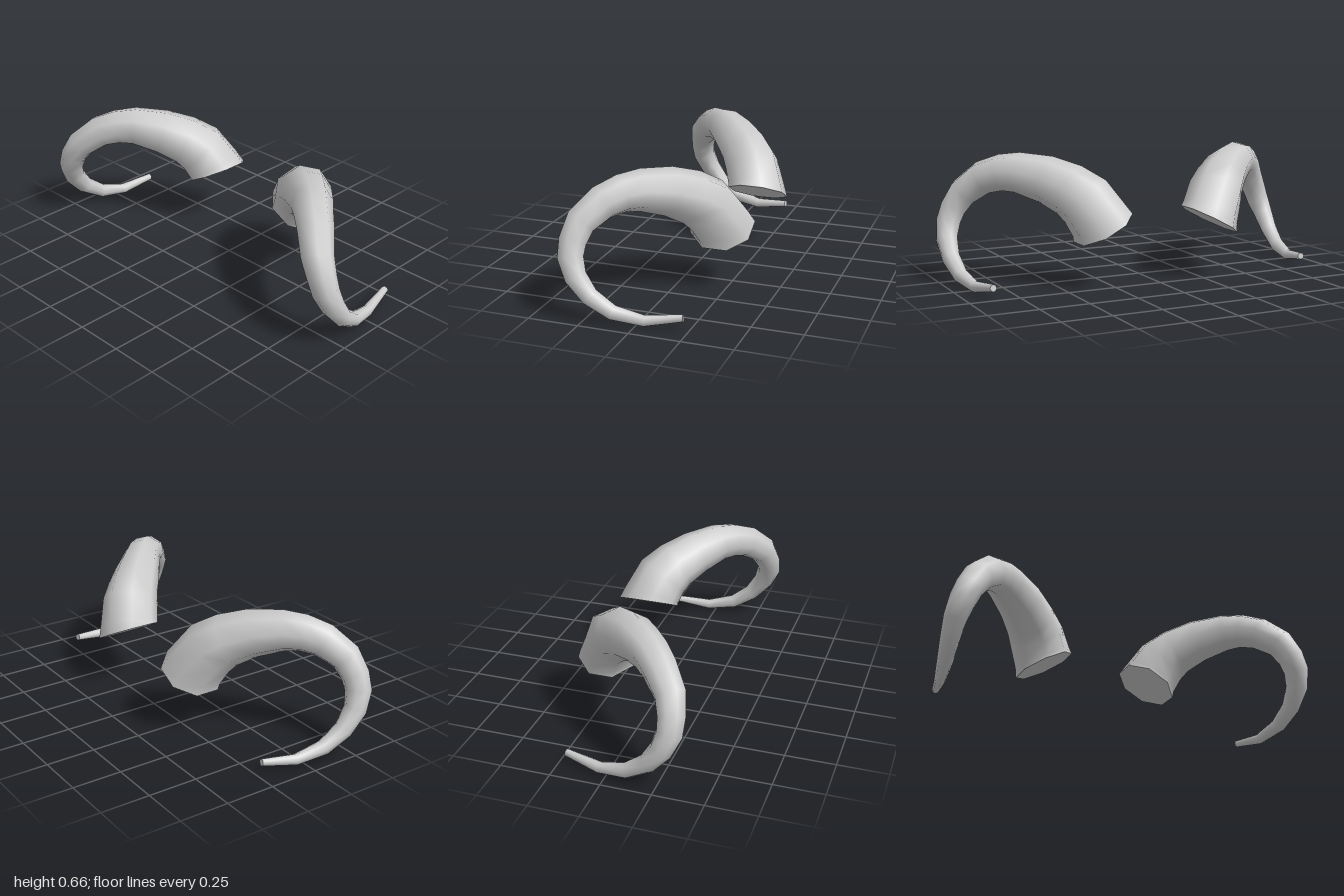
import * as THREE from 'three';

const SIDES = 8;

// Horn cross-sections from base to tip: centre x, y, z and radius
const SECTIONS = [
  [0.30, 0.30, -0.213, 0.161],
  [0.315, 0.335, -0.20, 0.152],
  [0.37, 0.43, -0.155, 0.146],
  [0.43, 0.482, -0.10, 0.133],
  [0.52, 0.53, -0.015, 0.119],
  [0.635, 0.56, 0.085, 0.101],
  [0.70, 0.555, 0.15, 0.092],
  [0.77, 0.527, 0.215, 0.086],
  [0.848, 0.45, 0.29, 0.077],
  [0.897, 0.37, 0.311, 0.069],
  [0.925, 0.30, 0.311, 0.065],
  [0.945, 0.217, 0.278, 0.056],
  [0.945, 0.13, 0.21, 0.046],
  [0.93, 0.06, 0.105, 0.038],
  [0.905, 0.03, -0.04, 0.028],
  [0.872, 0.055, -0.217, 0.018],
];

// Rings of points square to the path, carried along without twist
function makeRings(side) {
  const centres = SECTIONS.map(([x, y, z]) => new THREE.Vector3(x, y, z));
  const u = new THREE.Vector3(0, 0, 1);
  return centres.map((c, i) => {
    const next = centres[Math.min(i + 1, centres.length - 1)];
    const prev = centres[Math.max(i - 1, 0)];
    const t = next.clone().sub(prev).normalize();
    if (i === 0) t.set(0.47, 0.88, 0).normalize();
    if (i === 1) t.set(0.46, 0.85, 0.16).normalize();
    u.addScaledVector(t, -u.dot(t)).normalize();
    const v = new THREE.Vector3().crossVectors(t, u);
    const r = SECTIONS[i][3];
    return Array.from({ length: SIDES }, (_, k) => {
      const a = ((k + 0.5) / SIDES) * Math.PI * 2;
      const p = c.clone().addScaledVector(u, r * Math.cos(a)).addScaledVector(v, r * Math.sin(a));
      p.x *= side;
      return p;
    });
  });
}

function buildGeometry(points, triangles, flip) {
  const g = new THREE.BufferGeometry().setFromPoints(points);
  g.setIndex(triangles.flatMap(([a, b, c]) => (flip ? [a, c, b] : [a, b, c])));
  g.computeVertexNormals();
  return g;
}

function makeHorn(side, material) {
  const horn = new THREE.Group();
  const rings = makeRings(side);
  const flip = side < 0;
  const add = (name, geometry) => {
    const mesh = new THREE.Mesh(geometry, material);
    mesh.name = name;
    horn.add(mesh);
  };

  // Curved, tapering wall
  const wall = [];
  for (let i = 0; i < rings.length - 1; i++) {
    for (let k = 0; k < SIDES; k++) {
      const a = i * SIDES + k;
      const b = i * SIDES + ((k + 1) % SIDES);
      wall.push([a, b, a + SIDES], [b, b + SIDES, a + SIDES]);
    }
  }
  add('hornWall', buildGeometry(rings.flat(), wall, flip));

  // Flat ends
  const fan = Array.from({ length: SIDES - 2 }, (_, k) => [0, k + 1, k + 2]);
  add('baseCap', buildGeometry(rings[0], fan, !flip));
  add('tipCap', buildGeometry(rings[rings.length - 1], fan, flip));
  return horn;
}

export function createModel() {
  const model = new THREE.Group();
  model.name = 'hornPair';
  const hornGrey = new THREE.MeshStandardMaterial({ color: 0xcccccc });
  hornGrey.name = 'hornGrey';
  for (const [name, side] of [['leftHorn', 1], ['rightHorn', -1]]) {
    const horn = makeHorn(side, hornGrey);
    horn.name = name;
    model.add(horn);
  }
  return model;
}
